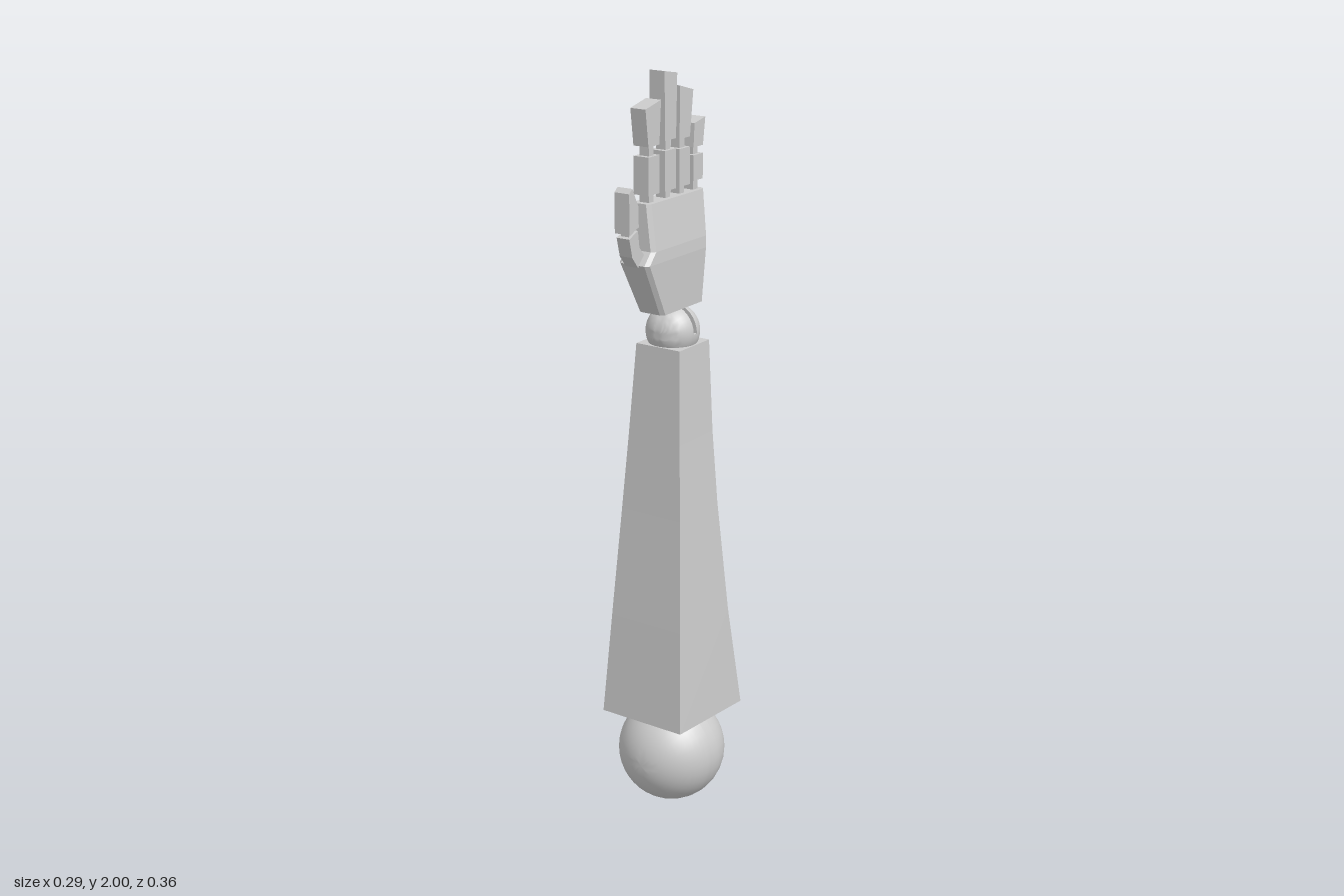
import * as THREE from 'three';
import { toCreasedNormals } from 'three/addons/utils/BufferGeometryUtils.js';

const flat = new THREE.MeshStandardMaterial({ color: 0xcccccc, flatShading: true });
const smooth = new THREE.MeshStandardMaterial({ color: 0xcccccc, side: THREE.DoubleSide });

function add(parent, name, geometry, material = flat) {
  const mesh = new THREE.Mesh(geometry, material);
  mesh.name = name;
  parent.add(mesh);
  return mesh;
}

// Rectangular cross-section with optional cut corners; the front and back may differ in height
function ring({ x0, x1, z0, z1, y, yBack = y, cut = 0 }) {
  const p = cut
    ? [[x1, z1 - cut], [x1, z0 + cut], [x1 - cut, z0], [x0 + cut, z0],
       [x0, z0 + cut], [x0, z1 - cut], [x0 + cut, z1], [x1 - cut, z1]]
    : [[x1, z1], [x1, z0], [x0, z0], [x0, z1]];
  return p.map(([x, z]) => [x, THREE.MathUtils.mapLinear(z, z0, z1, yBack, y), z]);
}

// Closed solid through stacked cross-sections
function loft(rings) {
  const n = rings[0].length, last = (rings.length - 1) * n, index = [];
  for (let i = 0; i < rings.length - 1; i++) {
    for (let j = 0; j < n; j++) {
      const a = i * n + j, b = i * n + (j + 1) % n;
      index.push(a, b, b + n, a, b + n, a + n);
    }
  }
  for (let j = 1; j < n - 1; j++) {
    index.push(0, j + 1, j, last, last + j, last + j + 1);
  }
  const g = new THREE.BufferGeometry();
  g.setAttribute('position', new THREE.Float32BufferAttribute(rings.flat(2), 3));
  g.setIndex(index);
  const solid = g.toNonIndexed();
  solid.computeVertexNormals();
  return solid;
}

// Outline given as [z, y], thickened along x
function plate(outline, width, centreX = -0.009) {
  const shape = new THREE.Shape(outline.map(([z, y]) => new THREE.Vector2(z, y)));
  return new THREE.ExtrudeGeometry(shape, { depth: width, bevelEnabled: false })
    .translate(0, 0, -width / 2)
    .rotateY(-Math.PI / 2)
    .translate(centreX, 0, 0);
}

// Ball with a slot cut halfway through, opening toward local -x
function slottedBall(name, r, w) {
  const group = new THREE.Group();
  group.name = name;
  const edge = Math.asin(w / r);
  const arc = (from, to, steps) => Array.from({ length: steps + 1 }, (_, i) => {
    const a = THREE.MathUtils.lerp(from, to, i / steps);
    return new THREE.Vector2(Math.max(0, r * Math.cos(a)), r * Math.sin(a));
  });
  const dome = toCreasedNormals(
    new THREE.LatheGeometry([new THREE.Vector2(0, w), ...arc(edge, Math.PI / 2, 12)], 32), 0.7);
  for (const turn of [Math.PI / 2, -Math.PI / 2]) {
    add(group, 'ballHalf', dome, smooth).rotation.x = turn;
  }
  add(group, 'ballCore', new THREE.LatheGeometry(arc(-edge, edge, 2), 16, 0, Math.PI), smooth)
    .rotation.x = Math.PI / 2;
  add(group, 'slotFloor', new THREE.PlaneGeometry(2 * w, 2 * r * Math.cos(edge)), smooth)
    .rotation.y = -Math.PI / 2;
  return group;
}

export function createModel() {
  const arm = new THREE.Group();
  arm.name = 'forearmAndHand';

  // Joint balls
  const elbow = slottedBall('elbowBall', 0.145, 0.015);
  elbow.position.set(-0.001, 0.15, -0.028);
  const wrist = slottedBall('wristBall', 0.07, 0.007);
  wrist.position.set(-0.003, 1.335, -0.034);
  wrist.rotation.z = -Math.PI / 2;
  arm.add(elbow, wrist);

  // Forearm, tapering upward with a hollowed back edge
  const forearm = [
    [0.126, 0.113, -0.18, 0.28, 0.26],
    [0.110, 0.091, -0.136, 0.56, 0.55],
    [0.092, 0.067, -0.107, 0.86, 0.86],
    [0.080, 0.052, -0.099, 1.06, 1.06],
    [0.067, 0.034, -0.099, 1.305, 1.305],
  ].map(([h, z1, z0, y, yBack]) => ring({ x0: -0.002 - h, x1: -0.002 + h, z0, z1, y, yBack }));
  add(arm, 'forearm', loft(forearm));

  // Palm, widest at the root of the thumb
  const palm = [
    [-0.042, 0.037, 0.066, -0.116, 1.40],
    [-0.050, 0.041, 0.138, -0.128, 1.54],
    [-0.049, 0.039, 0.108, -0.131, 1.57],
    [-0.035, 0.018, 0.098, -0.147, 1.685],
  ].map(([x0, x1, z1, z0, y]) => ring({ x0, x1, z0, z1, y, cut: 0.01 }));
  add(arm, 'palm', loft(palm));

  // Fingers: lower [z front, z back, y bottom, y top], then upper corners
  const fingers = [
    { name: 'indexFinger', low: [0.094, 0.048, 1.705, 1.8], base: 1.825,
      tip: [[0.106, 1.918], [0.041, 1.933]] },
    { name: 'middleFinger', low: [0.024, -0.023, 1.705, 1.805], base: 1.83,
      tip: [[0.026, 2.0], [-0.028, 1.99]] },
    { name: 'ringFinger', low: [-0.039, -0.084, 1.705, 1.8], base: 1.825,
      tip: [[-0.039, 1.957], [-0.098, 1.94]] },
    { name: 'littleFinger', low: [-0.1, -0.142, 1.71, 1.775], base: 1.795,
      tip: [[-0.104, 1.855], [-0.152, 1.865]] },
  ];
  for (const { name, low: [zf, zb, y0, y1], base, tip } of fingers) {
    const finger = new THREE.Group();
    finger.name = name;
    add(finger, 'lowerSegment', plate([[zf, y0], [zb, y0], [zb, y1], [zf, y1]], 0.045));
    add(finger, 'upperSegment', plate([[zf, base], [zb, base], tip[1], tip[0]], 0.045));
    // Narrow hinges below each segment
    const mid = (zf + zb) / 2;
    for (const [from, to] of [[1.68, y0], [y1, base]]) {
      add(finger, 'hinge', new THREE.BoxGeometry(0.028, to - from + 0.01, 0.02))
        .position.set(-0.009, (from + to) / 2, mid);
    }
    arm.add(finger);
  }

  // Thumb
  const thumb = new THREE.Group();
  thumb.name = 'thumb';
  add(thumb, 'lowerSegment', plate(
    [[0.176, 1.613], [0.164, 1.565], [0.14, 1.535], [0.112, 1.56], [0.134, 1.585], [0.14, 1.628]],
    0.038, -0.005));
  add(thumb, 'hinge', new THREE.BoxGeometry(0.024, 0.03, 0.02)).position.set(-0.005, 1.625, 0.158);
  add(thumb, 'upperSegment', plate(
    [[0.178, 1.725], [0.165, 1.736], [0.141, 1.69], [0.139, 1.637], [0.178, 1.624]],
    0.044, -0.006));
  arm.add(thumb);

  return arm;
}
